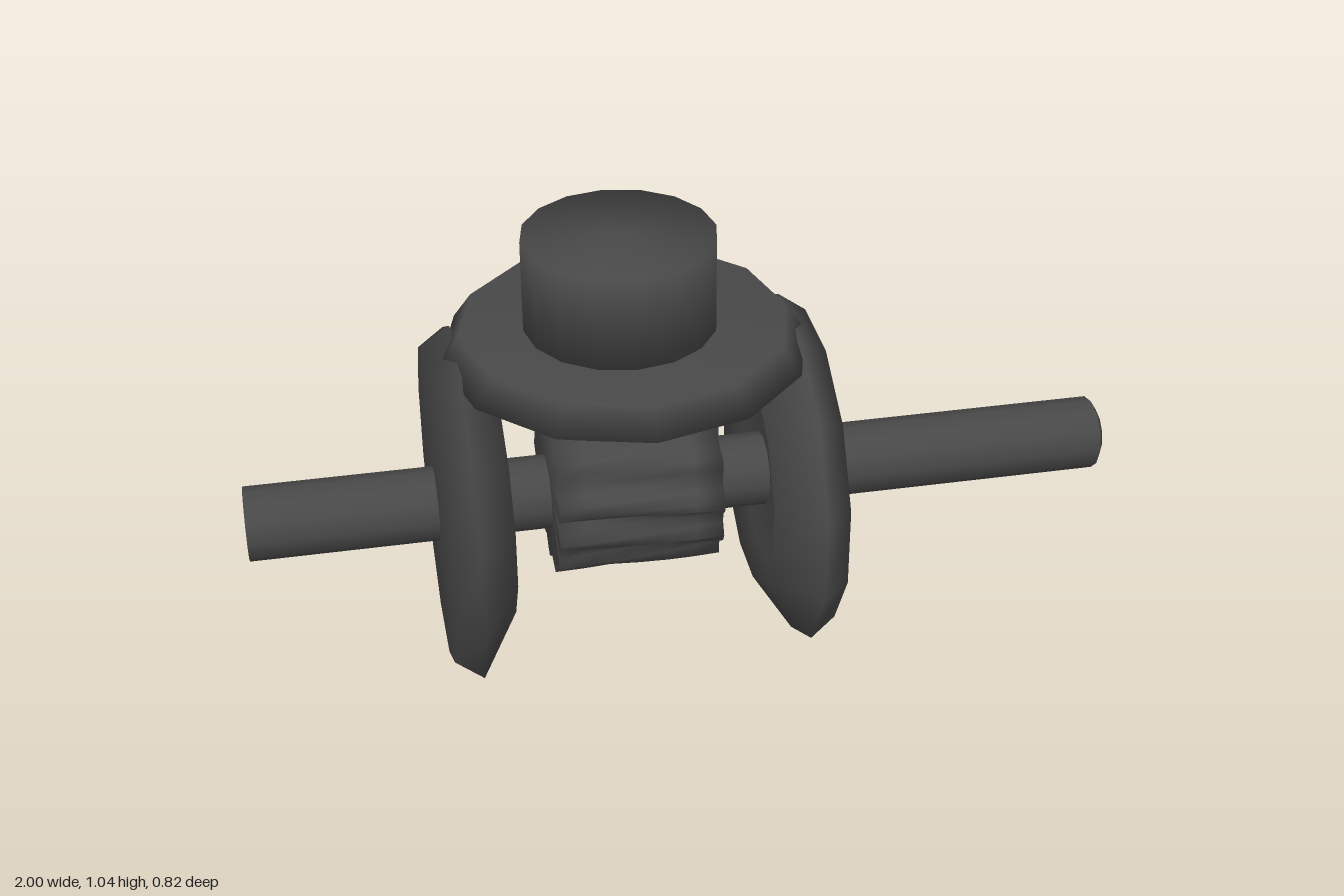
import * as THREE from 'three';

const material = new THREE.MeshStandardMaterial({ color: 0x484848 });
const AXLE_Y = 0.4;
const CENTRE_X = -0.135;

// Solid of revolution from [radius, height] pairs, with softened edges
function turned(name, profile, sides, phase = 0) {
  const points = profile.map(([r, h]) => new THREE.Vector2(r, h));
  const mesh = new THREE.Mesh(new THREE.LatheGeometry(points, sides, phase), material);
  mesh.name = name;
  return mesh;
}

// Bevel wheel: flat back at height 0, conical face, shallow recess in front
function bevelWheel(name, phase) {
  return turned(name, [
    [0, 0], [0.367, 0], [0.41, 0.062], [0.27, 0.15], [0.235, 0.115], [0, 0.115],
  ], 12, phase);
}

// Drum with slanted teeth, made by moving the wall of a lathe in and out
function toothedDrum(length, radius, teeth) {
  const profile = [[0, 0]];
  for (let i = 0; i <= 6; i++) profile.push([radius, (length * i) / 6]);
  profile.push([0, length]);
  const drum = turned('toothedDrum', profile, teeth * 4);
  const pos = drum.geometry.attributes.position;
  for (let i = 0; i < pos.count; i++) {
    const x = pos.getX(i), y = pos.getY(i), z = pos.getZ(i);
    if (Math.hypot(x, z) < 0.01) continue;
    const angle = Math.atan2(z, x);
    const scale = 1 + 0.07 * Math.cos(teeth * angle + 6 * y);
    pos.setXYZ(i, x * scale, y, z * scale);
  }
  drum.geometry.computeVertexNormals();
  return drum;
}

export function createModel() {
  const model = new THREE.Group();
  model.name = 'bevelGearSet';

  // Long axle running through both side wheels
  const axle = turned('axle', [
    [0, -1], [0.085, -1], [0.085, 0.985], [0.06, 1], [0, 1],
  ], 12);
  axle.rotation.z = -Math.PI / 2;
  axle.position.set(0, AXLE_Y, -0.01);
  model.add(axle);

  // Facing pair of side wheels
  for (const side of [-1, 1]) {
    const wheel = bevelWheel(side < 0 ? 'rightWheel' : 'leftWheel', Math.PI / 12);
    wheel.rotation.z = (side * Math.PI) / 2;
    wheel.position.set(CENTRE_X + side * 0.438, 0.405, -0.005);
    model.add(wheel);
  }

  // Top wheel lying face down across the pair
  const topWheel = bevelWheel('topWheel', 0);
  topWheel.rotation.x = Math.PI;
  topWheel.position.set(CENTRE_X, 0.835, 0);
  model.add(topWheel);

  // Round hub on the top wheel
  const hub = turned('hub', [[0, 0], [0.215, 0], [0.215, 0.23], [0, 0.23]], 16);
  hub.position.set(-0.143, 0.82, 0);
  model.add(hub);

  // Toothed drum between the side wheels
  const drum = toothedDrum(0.37, 0.21, 14);
  drum.rotation.z = -Math.PI / 2;
  drum.position.set(-0.318, 0.446, -0.005);
  model.add(drum);

  return model;
}
